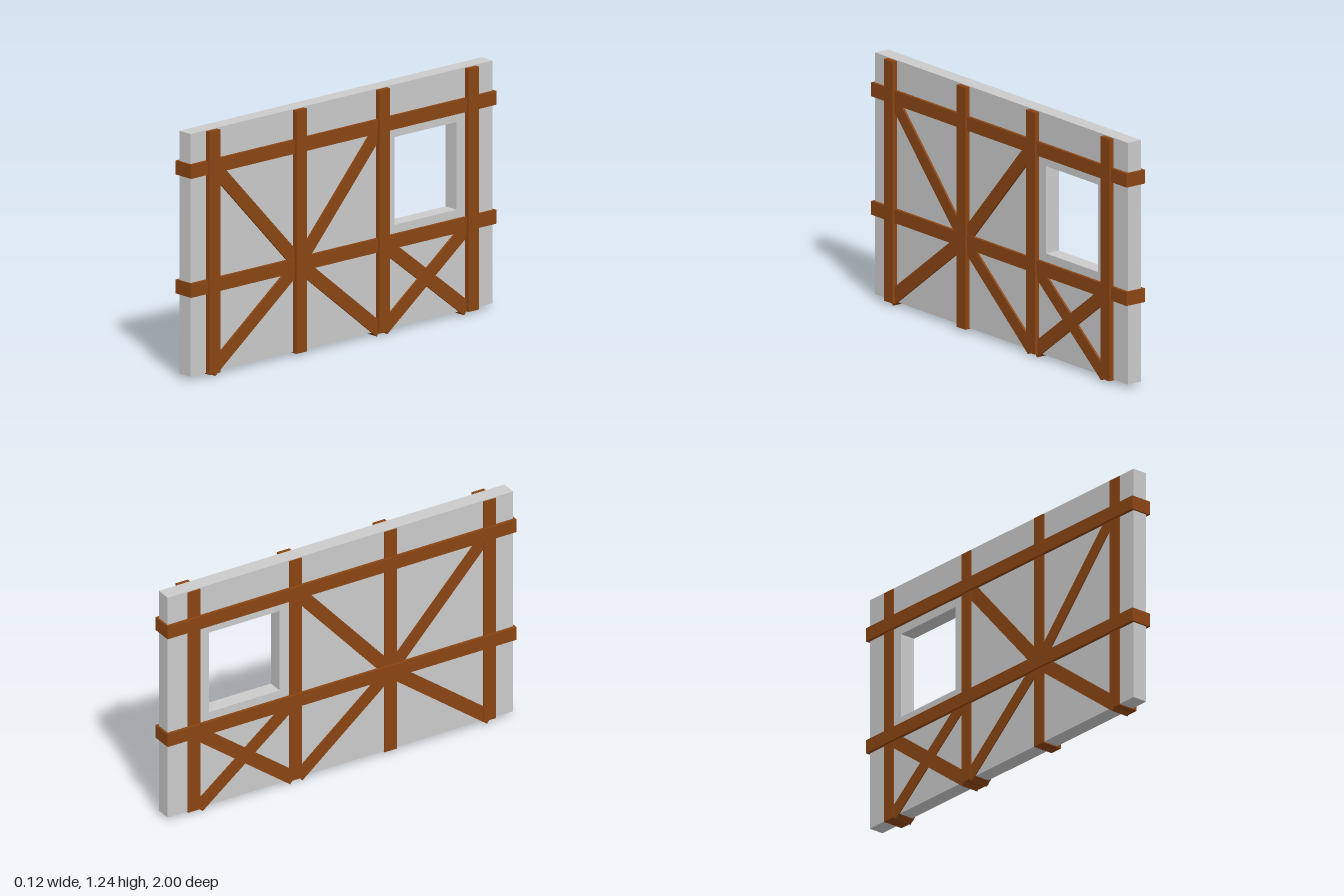
import * as THREE from 'three';

export function createModel() {
  const model = new THREE.Group();
  model.name = 'timberFramedWall';
  const plaster = new THREE.MeshStandardMaterial({ color: 0xcccccc, flatShading: true });
  const timber = new THREE.MeshStandardMaterial({ color: 0x8b4513, flatShading: true });
  const beamWidth = 0.07;

  // Beam through the wall, running between two [z, y] points, from x0 to x1
  function addBeam(name, [za, ya], [zb, yb], x0, x1) {
    const length = Math.hypot(zb - za, yb - ya);
    const beam = new THREE.Mesh(new THREE.BoxGeometry(x1 - x0, beamWidth, length), timber);
    beam.name = name;
    beam.position.set((x0 + x1) / 2, (ya + yb) / 2, (za + zb) / 2);
    beam.rotation.x = -Math.atan2(yb - ya, zb - za);
    model.add(beam);
  }

  // Plaster panel with a window opening, drawn with shape x = -z
  const panel = new THREE.Shape();
  panel.moveTo(-0.99, 0.03).lineTo(0.99, 0.03).lineTo(0.99, 1.252).lineTo(-0.99, 1.252).closePath();
  const opening = new THREE.Path();
  opening.moveTo(0.348, 0.545).lineTo(0.348, 0.987).lineTo(0.754, 0.987).lineTo(0.754, 0.545).closePath();
  panel.holes.push(opening);
  const wallGeometry = new THREE.ExtrudeGeometry(panel, { depth: 0.081, bevelEnabled: false });
  wallGeometry.rotateY(Math.PI / 2).translate(-0.047, 0, 0);
  const wall = new THREE.Mesh(wallGeometry, plaster);
  wall.name = 'wallPanel';
  model.add(wall);

  // Horizontal rails
  for (const y of [0.467, 1.066]) addBeam('rail', [-1, y], [1, y], -0.063, 0.05);

  // Upright posts
  for (const z of [0.853, 0.285, -0.26, -0.842]) addBeam('post', [z, 0.025], [z, 1.248], -0.053, 0.06);

  // Diagonal braces: a star around the second post, then a cross under the window
  const hub = [0.285, 0.468];
  const braces = [
    [[0.817, 1.035], hub],
    [[-0.24, 1.05], hub],
    [[0.858, 0.036], hub],
    [[-0.243, 0.036], hub],
    [[-0.27, 0.036], [-0.842, 0.465]],
    [[-0.815, 0.036], [-0.265, 0.468]],
  ];
  for (const [a, b] of braces) addBeam('brace', a, b, -0.052, 0.045);

  return model;
}
